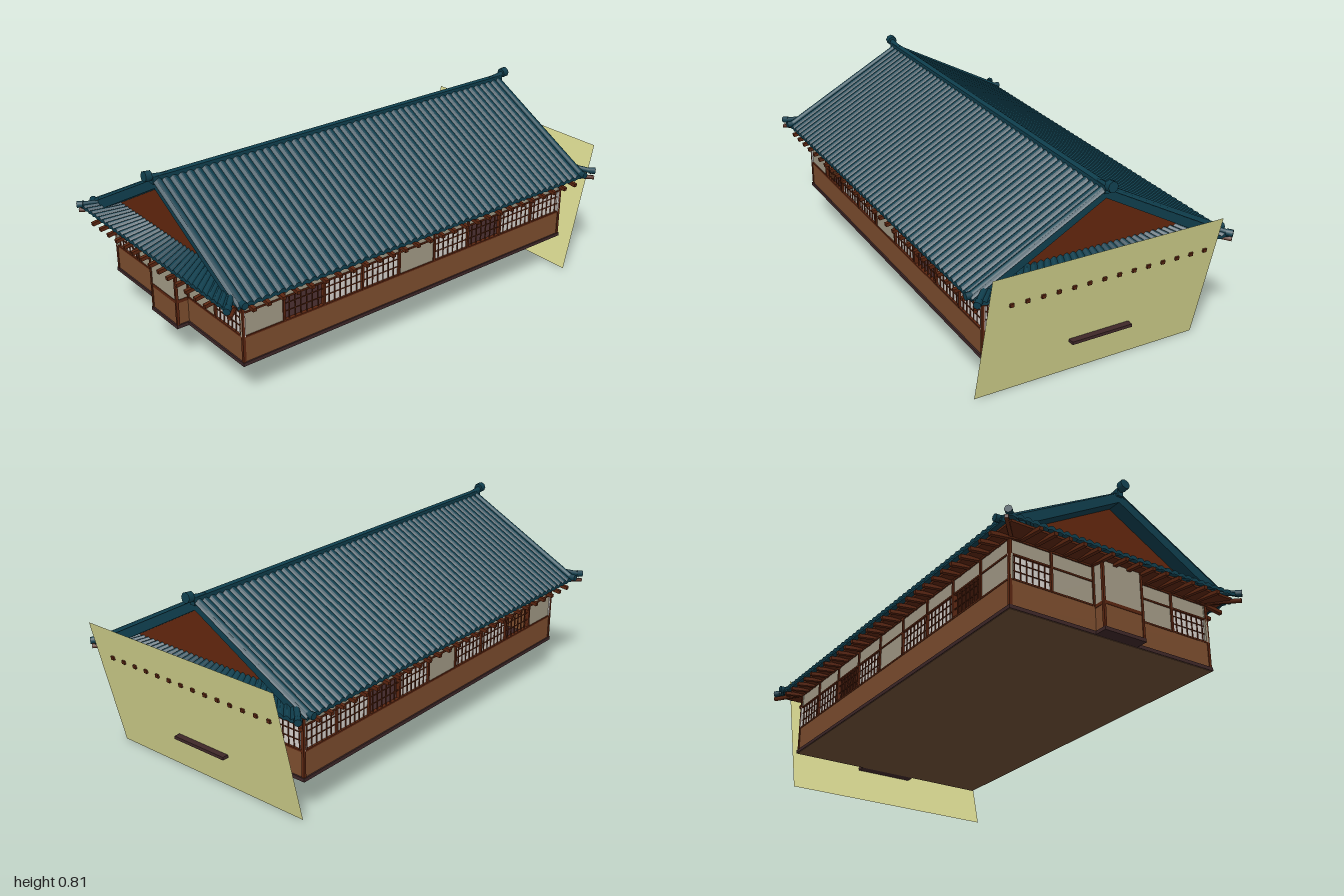
import * as THREE from 'three';

const mat = (name, color, side = THREE.FrontSide) => {
  const m = new THREE.MeshStandardMaterial({ color, side });
  m.name = name;
  return m;
};

export function createModel() {
  const M = {
    tile: mat('teal roof tile', 0x0f3e4d, THREE.DoubleSide),
    frame: mat('red brown timber', 0x5a2510),
    gable: mat('gable timber', 0x62260d),
    wood: mat('wainscot wood', 0x7c4d2e),
    plinth: mat('dark plinth', 0x3e2728),
    floor: mat('floor wood', 0x6a4c34),
    plaster: mat('grey plaster', 0xa29a86),
    paper: mat('window paper', 0xd6d0cb),
    screen: mat('pale yellow screen', 0xdada92, THREE.DoubleSide),
  };
  const model = new THREE.Group();
  model.name = 'hall';
  const house = new THREE.Group();
  house.name = 'house';
  house.position.z = 0.012;
  model.add(house);

  const add = (parent, name, geo, m, x = 0, y = 0, z = 0) => {
    const mesh = new THREE.Mesh(geo, m);
    mesh.name = name;
    mesh.position.set(x, y, z);
    parent.add(mesh);
    return mesh;
  };
  // Box given by its minimum and maximum corners
  const box = (parent, name, m, x0, x1, y0, y1, z0, z1) =>
    add(parent, name, new THREE.BoxGeometry(x1 - x0, y1 - y0, z1 - z0), m,
      (x0 + x1) / 2, (y0 + y1) / 2, (z0 + z1) / 2);
  // Round bar between two points
  const bar = (parent, name, m, a, b, r, sides = 8) => {
    const p = new THREE.Vector3(...a), q = new THREE.Vector3(...b);
    const mesh = add(parent, name, new THREE.CylinderGeometry(r, r, p.distanceTo(q), sides), m);
    mesh.position.copy(p).add(q).multiplyScalar(0.5);
    mesh.quaternion.setFromUnitVectors(new THREE.Vector3(0, 1, 0), q.sub(p).normalize());
    return mesh;
  };

  const HX = 0.48, HZ = 0.862;
  const Y0 = 0.17, SILL = 0.28, RAIL = 0.382, TOP = 0.452;

  // Base
  box(house, 'plinth', M.plinth, -HX - 0.003, HX + 0.003, 0.157, 0.172, -HZ - 0.003, HZ + 0.003);
  box(house, 'floorUnderside', M.floor, -HX, HX, 0.155, 0.157, -HZ, HZ);

  // One wall facing local +z: wainscot, rails, posts and a list of bays
  function wall(name, half, bays, depth, turn) {
    const g = new THREE.Group();
    g.name = name;
    g.rotation.y = turn;
    house.add(g);
    const z1 = depth - 0.004, z0 = z1 - 0.014;
    box(g, 'wainscot', M.wood, -half + 0.004, half - 0.004, Y0, SILL - 0.004, z0, z1 + 0.001);
    box(g, 'sillRail', M.frame, -half + 0.004, half - 0.004, SILL - 0.004, SILL + 0.003, z0, z1 + 0.003);
    box(g, 'middleRail', M.frame, -half + 0.004, half - 0.004, RAIL - 0.003, RAIL + 0.004, z0, z1 + 0.002);
    box(g, 'topBeam', M.frame, -half + 0.004, half - 0.004, TOP - 0.01, TOP, z0, z1 + 0.003);
    box(g, 'upperPlaster', M.plaster, -half + 0.004, half - 0.004, RAIL, TOP, z0 + 0.002, z1 - 0.002);
    let x = -half;
    bays.forEach(([w, type], i) => {
      const a = x, b = x + w;
      x = b;
      if (i) box(g, 'post', M.frame, a - 0.005, a + 0.005, SILL, TOP, z0, z1 + 0.004);
      if (type === 'plaster') box(g, 'plasterPanel', M.plaster, a, b, SILL, RAIL, z0 + 0.002, z1 - 0.002);
      if (type === 'paper') box(g, 'paperPanel', M.paper, a, b, SILL, RAIL, z0 + 0.004, z1 - 0.006);
      if (type === 'plaster') return;
      // Lattice over paper or open window
      for (let k = 1; k < 7; k++) {
        const c = a + (w * k) / 7;
        box(g, 'latticeUpright', M.frame, c - 0.0018, c + 0.0018, SILL, RAIL, z1 - 0.007, z1 - 0.002);
      }
      for (let k = 1; k < 3; k++) {
        const y = SILL + ((RAIL - SILL) * k) / 3 + 0.004;
        box(g, 'latticeBar', M.frame, a, b, y - 0.0016, y + 0.0016, z1 - 0.007, z1 - 0.0025);
      }
    });
    return g;
  }
  const sideBays = ['plaster', 'paper?', 'paper', 'paper', 'plaster', 'paper', 'paper?', 'paper', 'paper']
    .map((t) => [(2 * HZ) / 9, t === 'paper?' ? 'open' : t]);
  const endBays = [[0.19, 'paper'], [0.195, 'plaster'], [0.19, 'plaster'], [0.195, 'plaster'], [0.19, 'paper']];
  wall('leftWall', HZ, sideBays, HX, Math.PI / 2);
  wall('rightWall', HZ, [...sideBays].reverse(), HX, -Math.PI / 2);
  wall('frontWall', HX, endBays, HZ, 0);
  wall('backWall', HX, endBays, HZ, Math.PI);
  for (const sx of [-1, 1]) for (const sz of [-1, 1])
    box(house, 'cornerPost', M.frame, sx * (HX - 0.006) - 0.006, sx * (HX - 0.006) + 0.006, Y0, TOP,
      sz * (HZ - 0.006) - 0.006, sz * (HZ - 0.006) + 0.006);

  // Projecting front bay
  const bay = new THREE.Group();
  bay.name = 'frontBay';
  house.add(bay);
  const BZ = 0.912;
  box(bay, 'bayPlinth', M.plinth, -0.098, 0.098, 0.157, 0.172, HZ, BZ + 0.006);
  box(bay, 'bayWainscot', M.wood, -0.092, 0.092, Y0, SILL - 0.005, HZ - 0.01, BZ);
  box(bay, 'bayPlaster', M.plaster, -0.092, 0.092, SILL - 0.005, TOP, HZ - 0.01, BZ);
  box(bay, 'bayRail', M.frame, -0.094, 0.094, SILL - 0.012, SILL + 0.002, HZ - 0.01, BZ + 0.002);
  for (const s of [-1, 1])
    box(bay, 'bayPost', M.frame, s * 0.092 - 0.005, s * 0.092 + 0.005, Y0, TOP, BZ - 0.008, BZ + 0.004);

  // Back doorway frame and step
  box(house, 'backStep', M.plinth, -0.135, 0.135, 0.157, 0.17, -0.94, -HZ);
  for (const s of [-1, 1])
    box(house, 'backDoorPost', M.frame, s * 0.095 - 0.006, s * 0.095 + 0.006, Y0, TOP, -0.897, -HZ);
  box(house, 'backDoorHead', M.frame, -0.1, 0.1, TOP - 0.015, TOP, -0.897, -HZ);

  // Eave boards and rafters
  box(house, 'eaveBoard', M.frame, -0.53, 0.53, 0.449, 0.459, -0.95, 0.95);
  const rafter = (name, turn, along, reach) => {
    const g = new THREE.Group();
    g.name = name;
    g.rotation.y = turn;
    const r = add(g, 'rafterBeam', new THREE.BoxGeometry(0.016, 0.015, 0.13), M.frame, along, 0.445, reach - 0.063);
    r.rotation.x = 0.13;
    house.add(g);
  };
  for (let i = -7; i < 7; i++) for (const t of [0, Math.PI])
    rafter('endRafter', t, (i + 0.5) * 0.0655, 0.985);
  for (let i = -13; i <= 13; i++) for (const s of [-1, 1])
    rafter('sideRafter', (s * Math.PI) / 2, i * 0.066, 0.56);
  for (const sx of [-1, 1]) for (const sz of [-1, 1])
    bar(house, 'cornerRafter', M.frame, [sx * 0.46, 0.455, sz * 0.85], [sx * 0.567, 0.446, sz * 0.972], 0.01, 4);

  // Ribbed tile sheet between an upper and a lower edge, with a drop at the eave
  function tiles(name, ribs, top, low, lift) {
    const geo = new THREE.PlaneGeometry(1, 1, ribs * 6, 2);
    const p = geo.attributes.position;
    for (let i = 0; i < p.count; i++) {
      const u = p.getX(i) + 0.5, row = Math.round((0.5 - p.getY(i)) * 2);
      const h = lift * Math.abs(Math.sin(Math.PI * u * ribs));
      const [x, y, z] = row ? low(u) : top(u);
      p.setXYZ(i, x, y + (row === 2 ? -0.012 + h * 0.5 : h), z);
    }
    const flat = geo.toNonIndexed();
    flat.computeVertexNormals();
    return add(house, name, flat, M.tile);
  }
  const RZ = 0.928;
  for (const s of [-1, 1]) {
    const z = (u) => s * RZ * (1 - 2 * u);
    tiles('mainRoofTiles', 52, (u) => [0, 0.77, z(u)], (u) => [s * 0.556, 0.467, z(u)], 0.01);
    const x = (u, w) => s * w * (2 * u - 1);
    tiles('skirtTiles', 32, (u) => [x(u, 0.44), 0.502, s * 0.855], (u) => [x(u, 0.553), 0.467, s * 0.968], 0.01);
  }

  // Roof body and gables
  const chevron = new THREE.Shape([[0, 0.768], [0.55, 0.468], [0.55, 0.458], [0.49, 0.458], [0, 0.732],
    [-0.49, 0.458], [-0.55, 0.458], [-0.55, 0.468]].map((q) => new THREE.Vector2(...q)));
  add(house, 'roofBody', new THREE.ExtrudeGeometry(chevron, { depth: 1.84, bevelEnabled: false }), M.tile, 0, 0, -0.92);
  const triangle = new THREE.Shape([[-0.5, 0.455], [0.5, 0.455], [0, 0.738]].map((q) => new THREE.Vector2(...q)));
  for (const s of [-1, 1])
    add(house, 'gable', new THREE.ExtrudeGeometry(triangle, { depth: 0.01, bevelEnabled: false }), M.gable, 0, 0, s * 0.855 - 0.005);

  // Ridge, rake ridges and hip ridges with their end caps
  box(house, 'ridge', M.tile, -0.013, 0.013, 0.755, 0.785, -0.93, 0.93);
  for (const sz of [-1, 1]) {
    bar(house, 'ridgeRise', M.tile, [0, 0.774, sz * 0.86], [0, 0.788, sz * 0.955], 0.013);
    bar(house, 'ridgeCap', M.tile, [0, 0.79, sz * 0.935], [0, 0.793, sz * 0.962], 0.022);
    for (const sx of [-1, 1]) {
      bar(house, 'rakeRidge', M.tile, [0, 0.768, sz * 0.905], [sx * 0.555, 0.47, sz * 0.905], 0.014);
      bar(house, 'rakeCap', M.tile, [sx * 0.543, 0.474, sz * 0.905], [sx * 0.572, 0.474, sz * 0.905], 0.015);
      bar(house, 'hipRidge', M.tile, [sx * 0.44, 0.505, sz * 0.86], [sx * 0.555, 0.474, sz * 0.968], 0.012);
      bar(house, 'hipCap', M.tile, [sx * 0.546, 0.476, sz * 0.96], [sx * 0.564, 0.474, sz * 0.98], 0.015);
    }
  }

  // Leaning screen behind the house
  const height = Math.hypot(0.575, 0.14);
  const screen = add(model, 'backScreen', new THREE.PlaneGeometry(1, height), M.screen, 0.02, 0.2875, -0.93);
  screen.rotation.x = -Math.atan2(0.14, 0.575);
  return model;
}
